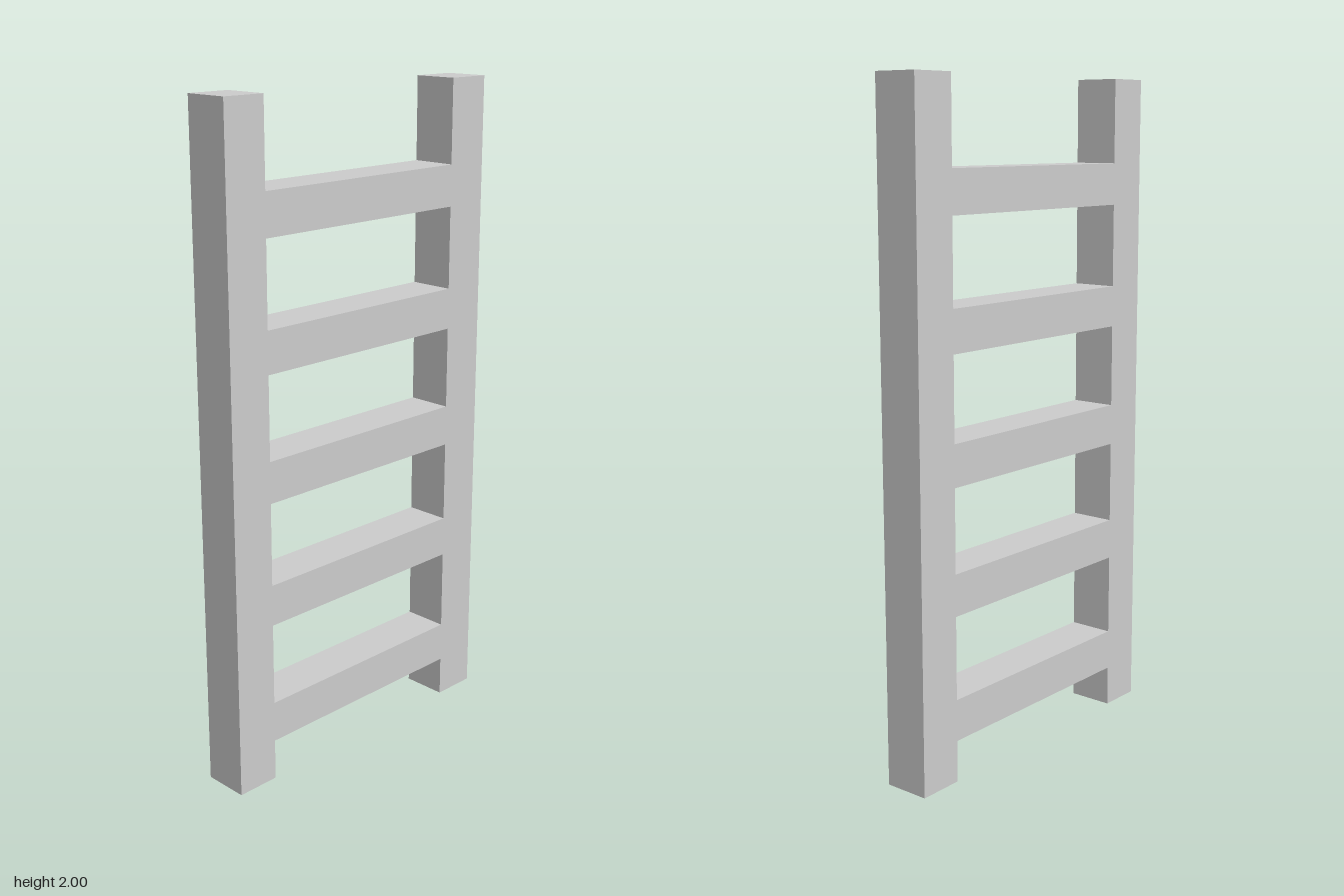
import * as THREE from 'three';

const HEIGHT = 2, DEPTH = 0.14;
const OUTER = 0.507;                      // outer faces of the rails
const INNER_L = -0.372, INNER_R = 0.367;  // inner faces; one rail is slightly wider
const RUNGS = 5, RUNG_FIRST = 0.125, RUNG_HEIGHT = 0.125, RUNG_STEP = 0.375;

const points = (list) => list.map(([x, y]) => new THREE.Vector2(x, y));

export function createModel() {
  const group = new THREE.Group();
  group.name = 'ladder';

  // Outline: two rails standing past the lowest and highest rungs
  const bottom = RUNG_FIRST;
  const top = RUNG_FIRST + (RUNGS - 1) * RUNG_STEP + RUNG_HEIGHT;
  const outline = new THREE.Shape(points([
    [-OUTER, 0], [INNER_L, 0], [INNER_L, bottom], [INNER_R, bottom],
    [INNER_R, 0], [OUTER, 0], [OUTER, HEIGHT], [INNER_R, HEIGHT],
    [INNER_R, top], [INNER_L, top], [INNER_L, HEIGHT], [-OUTER, HEIGHT],
  ]));

  // Openings between neighbouring rungs
  for (let i = 0; i < RUNGS - 1; i++) {
    const low = RUNG_FIRST + RUNG_HEIGHT + i * RUNG_STEP;
    const high = RUNG_FIRST + (i + 1) * RUNG_STEP;
    outline.holes.push(new THREE.Path(points([
      [INNER_L, low], [INNER_L, high], [INNER_R, high], [INNER_R, low],
    ])));
  }

  // Rails and rungs are flush, so they form one solid frame
  const geometry = new THREE.ExtrudeGeometry(outline, { depth: DEPTH, bevelEnabled: false });
  geometry.translate(0, 0, -DEPTH / 2);
  const frame = new THREE.Mesh(
    geometry,
    new THREE.MeshStandardMaterial({ color: 0xcccccc, flatShading: true }),
  );
  frame.name = 'railsAndRungs';
  group.add(frame);

  return group;
}
